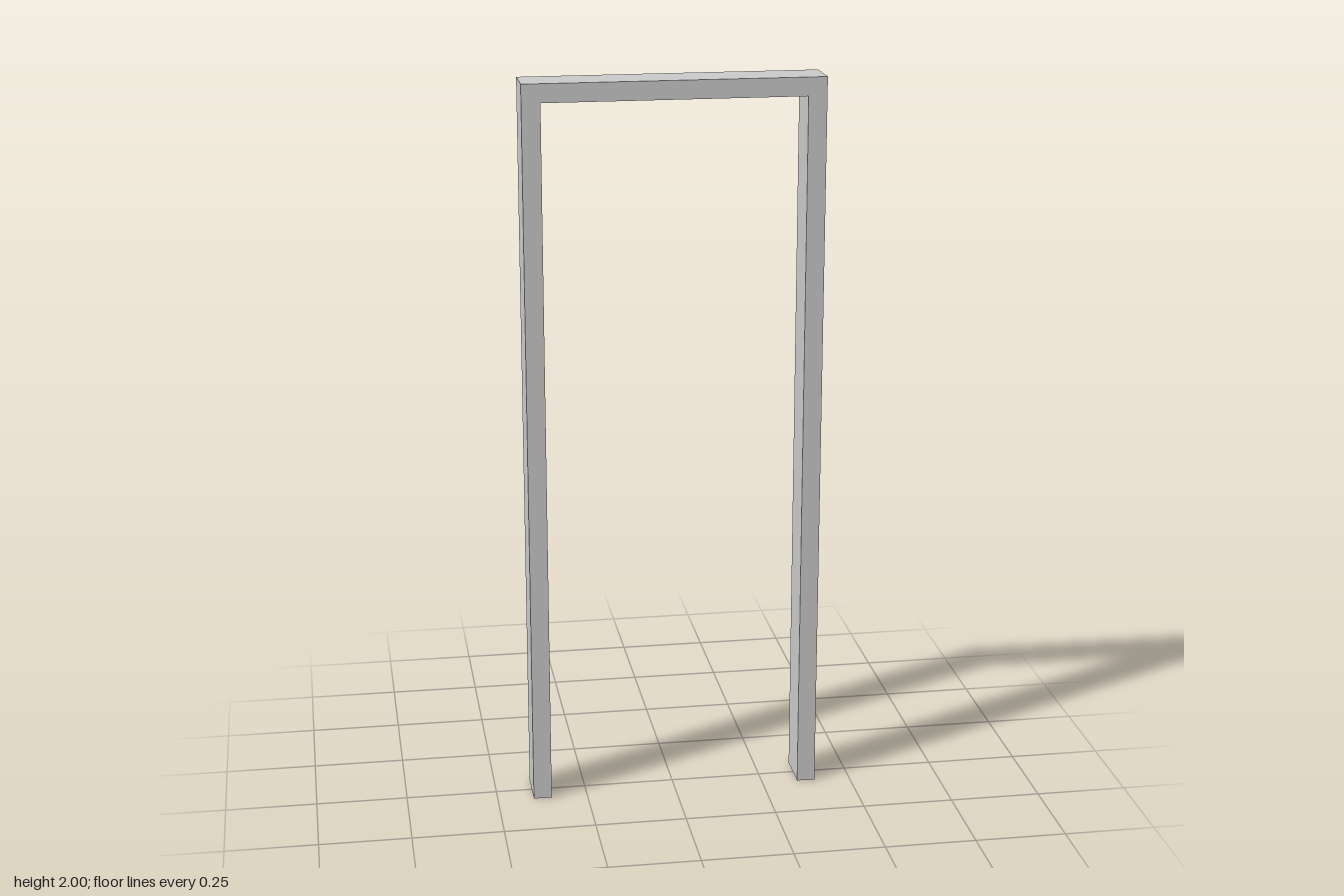
import * as THREE from 'three';

const HALF_WIDTH = 0.4, HEIGHT = 2, THICKNESS = 0.05, DEPTH = 0.12;

export function createModel() {
  const group = new THREE.Group();
  group.name = 'doorway';

  // Outline of two jambs joined by a head, open at the floor
  const inner = HALF_WIDTH - THICKNESS;
  const outline = new THREE.Shape([
    [-HALF_WIDTH, 0], [-inner, 0], [-inner, HEIGHT - THICKNESS], [inner, HEIGHT - THICKNESS],
    [inner, 0], [HALF_WIDTH, 0], [HALF_WIDTH, HEIGHT], [-HALF_WIDTH, HEIGHT],
  ].map(([x, y]) => new THREE.Vector2(x, y)));

  // One continuous frame, centred front to back
  const geometry = new THREE.ExtrudeGeometry(outline, { depth: DEPTH, bevelEnabled: false });
  geometry.translate(0, 0, -DEPTH / 2);
  const frame = new THREE.Mesh(geometry, new THREE.MeshStandardMaterial({ color: 0xcccccc, flatShading: true }));
  frame.name = 'doorFrame';
  group.add(frame);

  return group;
}
